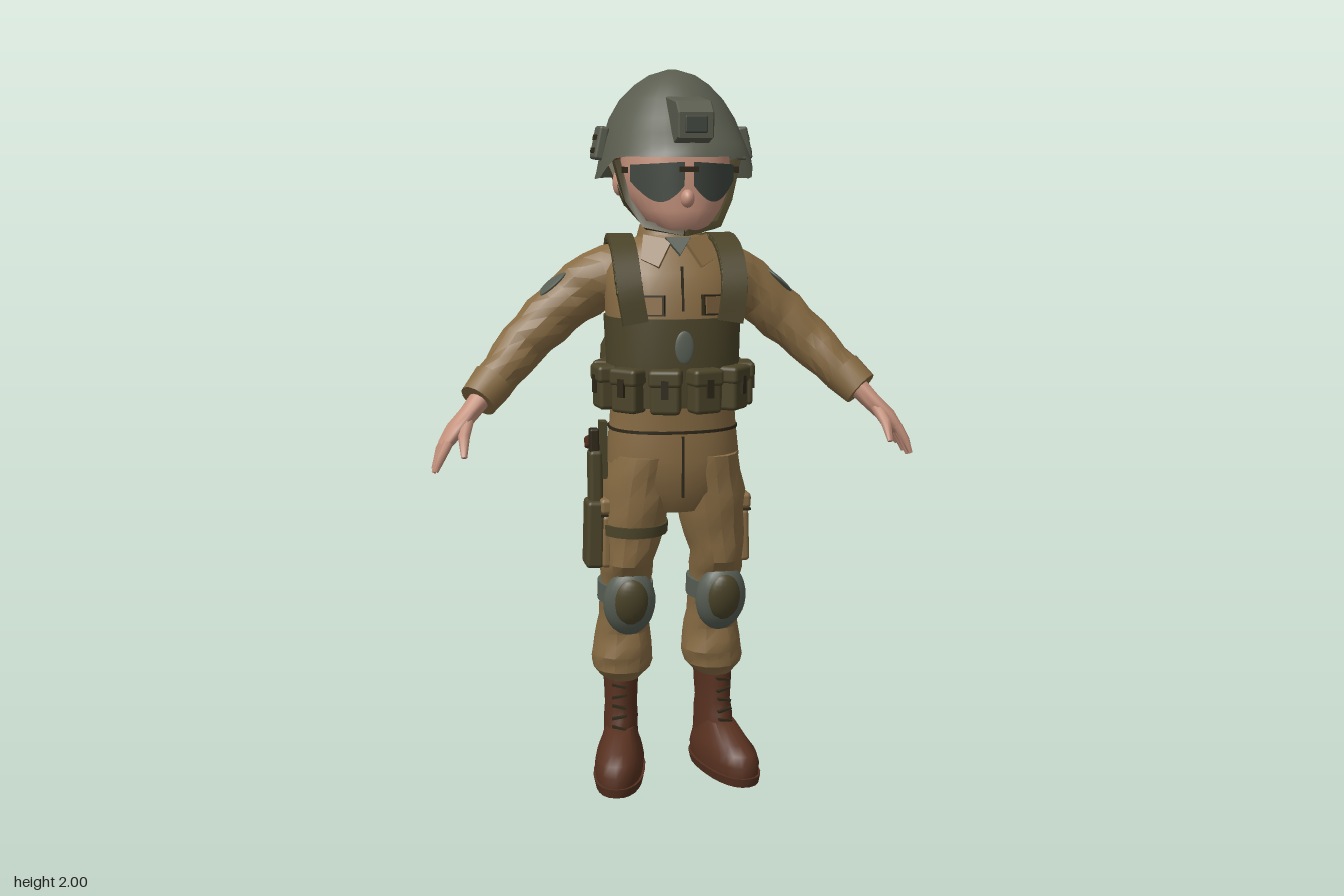
import * as THREE from 'three';
import { toCreasedNormals } from 'three/addons/utils/BufferGeometryUtils.js';
import { RoundedBoxGeometry } from 'three/addons/geometries/RoundedBoxGeometry.js';

const V = (x, y, z) => new THREE.Vector3(x, y, z);

// Skin over rings [x, y, z, halfA, halfB]; rings lie flat, or across the path when ref is given
function loft(rows, { n = 20, p = 2, ref = null, fold = 0, sub = 1, crease = 0.7, caps = true, rule = null } = {}) {
  const R = [];
  rows.forEach((r, i) => {
    const next = rows[i + 1];
    for (let k = 0; k < (next ? sub : 1); k++) R.push(next ? r.map((v, c) => v + (next[c] - v) * k / sub) : r);
  });
  const pos = [], idx = [], C = R.map(r => V(r[0], r[1], r[2])), L = R.length;
  const off = n === 4 ? Math.PI / 4 : 0, k4 = n === 4 ? Math.SQRT2 : 1;
  R.forEach((r, i) => {
    let N = V(0, 0, 1), M = V(1, 0, 0);
    if (ref) {
      const t = C[Math.min(i + 1, L - 1)].clone().sub(C[Math.max(i - 1, 0)]).normalize();
      N = ref.clone().addScaledVector(t, -ref.dot(t)).normalize();
      M = t.cross(N);
    }
    for (let j = 0; j < n; j++) {
      const a = off + j / n * Math.PI * 2, f = k4 * (1 + fold * Math.sin(2 * a + i * 2.4));
      const c = Math.cos(a), s = Math.sin(a), e = 2 / p;
      const q = C[i].clone().addScaledVector(M, f * r[3] * Math.sign(c) * Math.abs(c) ** e)
        .addScaledVector(N, f * r[4] * Math.sign(s) * Math.abs(s) ** e);
      if (rule) rule(q);
      pos.push(q.x, q.y, q.z);
    }
  });
  for (let i = 0; i < L - 1; i++) for (let j = 0; j < n; j++) {
    const a = i * n + j, b = i * n + (j + 1) % n;
    idx.push(a, a + n, b, b, a + n, b + n);
  }
  if (caps) {
    const b = pos.length / 3, top = (L - 1) * n;
    pos.push(...C[0].toArray(), ...C[L - 1].toArray());
    for (let j = 0; j < n; j++) {
      const k = (j + 1) % n;
      idx.push(b, j, k, b + 1, top + k, top + j);
    }
  }
  const g = new THREE.BufferGeometry();
  g.setAttribute('position', new THREE.Float32BufferAttribute(pos, 3));
  g.setIndex(idx);
  return toCreasedNormals(g, crease);
}

export function createModel() {
  const root = new THREE.Group();
  const mat = (name, color, side = THREE.FrontSide) => {
    const m = new THREE.MeshStandardMaterial({ color, side });
    m.name = name;
    return m;
  };
  const khaki = mat('khaki cloth', 0x876b43), olive = mat('olive webbing', 0x4b4429), green = mat('helmet green', 0x595c4e, THREE.DoubleSide);
  const grey = mat('grey green', 0x596055), skin = mat('skin', 0xc4917c), boot = mat('boot leather', 0x56301f);
  const hair = mat('brown hair', 0x52301f), lens = mat('dark lens', 0x40463f, THREE.DoubleSide), dark = mat('dark seam', 0x2f2819);
  const add = (name, geo, m, at = [0, 0, 0], rot = [0, 0, 0], parent = root) => {
    const mesh = new THREE.Mesh(geo, m);
    mesh.name = name;
    mesh.position.set(...at);
    mesh.rotation.set(...rot);
    parent.add(mesh);
    return mesh;
  };
  const box = (w, h, d) => new THREE.BoxGeometry(w, h, d);
  const rbox = (w, h, d, r = 0.012) => new RoundedBoxGeometry(w, h, d, 2, r);
  const ball = (a, b, c) => new THREE.SphereGeometry(1, 20, 14).scale(a, b, c);
  const X = V(1, 0, 0), Z = V(0, 0, 1);

  // Head
  add('head', loft([[0, 1.572, 0.1, 0.045, 0.05], [0, 1.59, 0.07, 0.08, 0.1], [0, 1.63, 0.035, 0.115, 0.137],
    [0, 1.68, 0.02, 0.14, 0.152], [0, 1.74, 0.02, 0.146, 0.152], [0, 1.82, 0.01, 0.14, 0.145]], { n: 28, p: 2.4, crease: 1.2 }), skin);
  add('neck', loft([[0, 1.48, -0.04, 0.075, 0.07], [0, 1.58, -0.035, 0.062, 0.06], [0, 1.68, -0.02, 0.07, 0.07]]), skin);
  add('hair', loft([[0, 1.625, -0.06, 0.08, 0.06], [0, 1.65, -0.06, 0.125, 0.085], [0, 1.7, -0.06, 0.148, 0.105],
    [0, 1.8, -0.06, 0.155, 0.115]], { crease: 1.2 }), hair);
  add('nose', ball(0.018, 0.024, 0.024), skin, [0, 1.662, 0.178]);
  add('mouth', box(0.05, 0.005, 0.008), hair, [0, 1.613, 0.161]);
  add('glassesBridge', box(0.05, 0.014, 0.01), dark, [0, 1.738, 0.194]);

  // Helmet, its rim lifted over the face
  add('helmetShell', loft([[0, 1.71, -0.005, 0.212, 0.265], [0, 1.73, -0.003, 0.207, 0.257], [0, 1.77, -0.005, 0.199, 0.245], [0, 1.82, -0.015, 0.187, 0.225],
    [0, 1.87, -0.025, 0.17, 0.202], [0, 1.92, -0.03, 0.14, 0.165], [0, 1.96, -0.025, 0.1, 0.12],
    [0, 1.985, -0.02, 0.062, 0.075], [0, 2, -0.02, 0.012, 0.014]], {
    n: 36, crease: 1, caps: false, rule: q => {
      q.y += 0.06 * THREE.MathUtils.smoothstep(q.z, 0.02, 0.15) * THREE.MathUtils.clamp((1.84 - q.y) / 0.13, 0, 1);
    } }), green);
  add('helmetCrown', ball(0.02, 0.004, 0.02), green, [0, 1.996, -0.02]);
  const side = new THREE.Shape([[-0.1, 1.925], [-0.25, 1.907], [-0.28, 1.88], [-0.275, 1.82], [-0.2, 1.8]].map(a => new THREE.Vector2(...a)));
  add('visorMount', new THREE.ExtrudeGeometry(side, { depth: 0.086, bevelEnabled: true, bevelSize: 0.004, bevelThickness: 0.004, bevelSegments: 1 })
    .translate(0, 0, -0.043).rotateY(Math.PI / 2), green);
  add('mountFace', rbox(0.06, 0.045, 0.012, 0.005), lens, [0, 1.852, 0.279]);

  for (const s of [1, -1]) {
    const at = rows => rows.map(([x, ...r]) => [s * x, ...r]);
    add('helmetBuckle', rbox(0.028, 0.09, 0.085, 0.008), green, [s * 0.198, 1.805, -0.028], [0, 0, s * 0.2]);
    for (const y of [1.786, 1.82]) add('buckleSlot', box(0.006, 0.014, 0.055), dark, [s * (0.216 - (y - 1.786) * 0.2), y, -0.028], [0, 0, s * 0.2]);
    add('ear', ball(0.018, 0.035, 0.025), skin, [s * 0.148, 1.7, -0.01]);
    add('chinStrap', loft(at([[0.165, 1.76, 0.04, 0.008, 0.02], [0.137, 1.65, 0.05, 0.008, 0.022], [0.095, 1.59, 0.1, 0.01, 0.014],
      [0, 1.571, 0.15, 0.008, 0.014]]), { n: 4, ref: Z }), olive);
    add('rearStrap', loft(at([[0.165, 1.75, -0.06, 0.008, 0.015], [0.137, 1.65, 0.04, 0.008, 0.014]]), { n: 4, ref: Z }), olive);

    // Wraparound lens
    const g = new THREE.PlaneGeometry(1, 1, 10, 4), P = g.attributes.position;
    for (let i = 0; i < P.count; i++) {
      const u = P.getX(i) + 0.5, v = P.getY(i) + 0.5, x = 0.012 + 0.128 * u;
      const lo = 1.715 - 0.062 * Math.sin(Math.PI * (0.1 + 0.85 * u)), hi = 1.757 - 0.008 * u;
      P.setXYZ(i, s * x, lo + (hi - lo) * v, 0.198 - 4.5 * x * x);
    }
    g.computeVertexNormals();
    add('glassesLens', g, lens);
    add('glassesArm', box(0.01, 0.016, 0.13), dark, [s * 0.15, 1.735, 0.045]);

    // Sleeve, cuff and hand
    add('sleeve', loft(at([[0.12, 1.455, -0.075, 0.085, 0.085], [0.2, 1.43, -0.1, 0.087, 0.08], [0.27, 1.38, -0.108, 0.078, 0.073],
      [0.34, 1.32, -0.105, 0.074, 0.07], [0.41, 1.255, -0.085, 0.068, 0.066], [0.47, 1.19, -0.045, 0.06, 0.06],
      [0.525, 1.135, -0.005, 0.052, 0.05]]), { n: 14, ref: Z, fold: 0.05, sub: 2, crease: 0.45 }), khaki);
    add('cuff', loft(at([[0.497, 1.165, -0.027, 0.061, 0.058], [0.543, 1.118, 0.008, 0.054, 0.054]]), { n: 14, ref: Z }), khaki);
    add('shoulderPatch', ball(0.056, 0.009, 0.056), grey, [s * 0.322, 1.424, -0.1], [0, 0, -s * 0.72]);
    add('palm', loft(at([[0.53, 1.13, 0, 0.03, 0.034], [0.57, 1.085, 0.022, 0.026, 0.04], [0.61, 1.045, 0.038, 0.024, 0.054],
      [0.64, 1.005, 0.042, 0.017, 0.052]]), { n: 14, ref: Z, crease: 1.2 }), skin);
    for (let i = 0; i < 4; i++) {
      const z = 0.004 + i * 0.026, len = [0.75, 0.95, 1, 0.9][i];
      add('finger', loft(at([[0.63, 1.02, z, 0.014, 0.013], [0.63 + 0.024 * len, 1.02 - 0.045 * len, z + (i - 1.5) * 0.006, 0.012, 0.012],
        [0.63 + 0.04 * len, 1.02 - 0.085 * len, z + (i - 1.5) * 0.009, 0.006, 0.007]]), { n: 8, ref: Z, crease: 1.2 }), skin);
    }
    add('thumb', loft(at([[0.575, 1.075, 0.045, 0.018, 0.018], [0.59, 1.035, 0.095, 0.015, 0.016], [0.593, 0.985, 0.128, 0.006, 0.008]]),
      { n: 8, ref: X, crease: 1.2 }), skin);

    // Collar wing, chest pocket
    const wing = new THREE.Shape([[0, 0.01], [s * 0.075, 0.045], [s * 0.09, -0.03], [s * 0.045, -0.065]].map(a => new THREE.Vector2(...a)));
    add('collarWing', new THREE.ExtrudeGeometry(wing, { depth: 0.01, bevelEnabled: false }), khaki, [s * 0.015, 1.535, 0.062], [-0.62, s * 0.35, 0]);
    add('pocketSeam', box(0.122, 0.056, 0.012), dark, [s * 0.105, 1.375, 0.104], [-0.08, s * 0.52, 0]);
    add('chestPocket', box(0.112, 0.046, 0.018), khaki, [s * 0.105, 1.375, 0.104], [-0.08, s * 0.52, 0]);

    // Shoulder strap with ribs
    const path = new THREE.CatmullRomCurve3([V(0.13, 1.33, 0.125), V(0.145, 1.43, 0.112), V(0.146, 1.515, 0.05), V(0.14, 1.55, -0.06),
      V(0.13, 1.515, -0.16), V(0.12, 1.41, -0.192), V(0.11, 1.26, -0.19)].map(v => v.setX(s * v.x)));
    add('shoulderStrap', loft(path.getPoints(22).map(v => [v.x, v.y, v.z, 0.012, 0.034]), { n: 4, ref: X }), olive);
    for (let i = 3; i < 18; i++) {
      const v = path.getPointAt(i / 22), t = path.getTangentAt(i / 22);
      add('strapRib', rbox(0.072, 0.036, 0.018, 0.005), olive, v.toArray(), [Math.atan2(t.z, t.y), 0, 0]);
    }

    // Belt pouches
    for (const a of [0.28, 0.85, 1.45, 2.1]) {
      const pouch = new THREE.Group();
      pouch.name = 'beltPouch';
      pouch.position.set(s * 0.192 * Math.sin(a), 1.145, -0.012 + 0.168 * Math.cos(a));
      pouch.rotation.y = s * a;
      root.add(pouch);
      add('pouchBody', rbox(0.082, 0.115, 0.06), olive, [0, 0, 0], [0, 0, 0], pouch);
      add('pouchFlap', rbox(0.09, 0.048, 0.07), olive, [0, 0.04, 0], [0, 0, 0], pouch);
      add('pouchTab', box(0.02, 0.05, 0.008), dark, [0, 0.012, 0.034], [0, 0, 0], pouch);
    }

    // Trouser leg with cargo pocket
    add('trouserLeg', loft(at([[0.138, 0.285, -0.095, 0.052, 0.072], [0.135, 0.315, -0.093, 0.084, 0.09], [0.132, 0.36, -0.092, 0.088, 0.098],
      [0.13, 0.43, -0.09, 0.076, 0.09], [0.13, 0.5, -0.07, 0.07, 0.085], [0.13, 0.58, -0.048, 0.07, 0.092], [0.13, 0.65, -0.022, 0.073, 0.112],
      [0.116, 0.75, -0.02, 0.09, 0.122], [0.104, 0.85, -0.015, 0.098, 0.132], [0.09, 0.96, -0.012, 0.09, 0.135]]),
      { n: 16, p: 2.2, fold: 0.028, sub: 2, crease: 0.45 }), khaki);
    add('cargoPocket', rbox(0.03, 0.15, 0.15), khaki, [s * 0.196, 0.715, -0.03], [0, 0, s * 0.03]);
    add('cargoSeam', box(0.035, 0.006, 0.15), dark, [s * 0.197, 0.79, -0.03]);
    add('cargoFlap', rbox(0.036, 0.045, 0.158), khaki, [s * 0.197, 0.815, -0.03]);

    // Knee pad and its band
    add('kneeBand', loft(at([[0.13, 0.525, -0.06, 0.078, 0.093], [0.13, 0.58, -0.05, 0.078, 0.098]]), { p: 2.2 }), grey);
    add('kneePadBase', ball(0.074, 0.102, 0.05), grey, [s * 0.132, 0.535, 0.025], [0.22, s * 0.1, 0]);
    add('kneePadCap', ball(0.052, 0.074, 0.034), olive, [s * 0.133, 0.54, 0.05], [0.22, s * 0.1, 0]);

    // Boot, turned outward
    const b = new THREE.Group();
    b.name = 'boot';
    b.position.set(s * 0.137, 0, -0.093);
    b.rotation.y = s * 0.24;
    root.add(b);
    add('bootShaft', loft([[0, 0.06, 0, 0.052, 0.085], [0, 0.13, 0.005, 0.05, 0.084], [0, 0.2, 0, 0.047, 0.07], [0, 0.31, -0.003, 0.052, 0.07]],
      { fold: 0.02, sub: 2 }), boot, [0, 0, 0], [0, 0, 0], b);
    add('bootFoot', loft([[0, 0.02, 0.075, 0.066, 0.16], [0, 0.055, 0.075, 0.07, 0.163], [0, 0.085, 0.072, 0.064, 0.15],
      [0, 0.105, 0.055, 0.055, 0.125], [0, 0.145, 0.02, 0.042, 0.085]], { p: 2.3, n: 24, crease: 0.9 }), boot, [0, 0, 0], [0, 0, 0], b);
    add('bootSole', loft([[0, 0, 0.075, 0.068, 0.162], [0, 0.026, 0.075, 0.074, 0.167]], { p: 2.3, n: 24 }), hair, [0, 0, 0], [0, 0, 0], b);
    for (let i = 0; i < 5; i++) add('bootLace', box(0.042, 0.006, 0.012), dark, [0, 0.15 + i * 0.03, 0.083 - i * 0.004], [0, 0, 0.2 * (i % 2 ? 1 : -1)], b);
  }

  // Shirt and trousers
  add('shirt', loft([[0, 1.03, -0.015, 0.177, 0.137], [0, 1.1, -0.015, 0.172, 0.14], [0, 1.2, -0.015, 0.174, 0.148], [0, 1.3, -0.02, 0.18, 0.152],
    [0, 1.4, -0.027, 0.188, 0.15], [0, 1.46, -0.035, 0.186, 0.135], [0, 1.51, -0.045, 0.16, 0.112], [0, 1.545, -0.045, 0.105, 0.09],
    [0, 1.56, -0.042, 0.08, 0.075]], { n: 28, p: 2.3 }), khaki);
  add('collar', loft([[0, 1.53, -0.045, 0.1, 0.092], [0, 1.585, -0.05, 0.084, 0.076]], { crease: 1 }), khaki);
  const tri = new THREE.Shape([[-0.035, 0], [0, -0.055], [0.035, 0]].map(a => new THREE.Vector2(...a)));
  add('undershirt', new THREE.ExtrudeGeometry(tri, { depth: 0.01, bevelEnabled: false }), grey, [0, 1.55, 0.052], [-0.6, 0, 0]);
  add('shirtPlacket', box(0.006, 0.12, 0.008), dark, [0, 1.42, 0.118], [-0.12, 0, 0]);
  add('pelvis', loft([[0, 0.8, -0.015, 0.09, 0.1], [0, 0.86, -0.015, 0.175, 0.132], [0, 0.95, -0.015, 0.186, 0.142], [0, 1.045, -0.015, 0.176, 0.136]],
    { n: 28, p: 2.3 }), khaki);
  add('waistSeam', loft([[0, 1.026, -0.015, 0.181, 0.141], [0, 1.034, -0.015, 0.181, 0.141]], { n: 28, p: 2.3 }), dark);
  add('flySeam', box(0.006, 0.17, 0.008), dark, [0, 0.935, 0.126]);

  // Vest, belt and back pack
  add('vest', loft([[0, 1.12, -0.014, 0.182, 0.152], [0, 1.22, -0.014, 0.184, 0.158], [0, 1.34, -0.022, 0.189, 0.159]], { n: 28, p: 2.3 }), olive);
  add('vestBadge', ball(0.026, 0.045, 0.006), grey, [0, 1.265, 0.143]);
  add('belt', loft([[0, 1.1, -0.014, 0.188, 0.158], [0, 1.17, -0.014, 0.188, 0.16]], { n: 28, p: 2.3 }), olive);
  add('packBody', loft([[0, 1.08, -0.2, 0.13, 0.045], [0, 1.1, -0.205, 0.155, 0.07], [0, 1.16, -0.21, 0.165, 0.08], [0, 1.22, -0.21, 0.16, 0.075]],
    { n: 24, p: 3 }), olive);
  add('packLid', loft([[0, 1.195, -0.208, 0.17, 0.084], [0, 1.235, -0.205, 0.168, 0.08], [0, 1.275, -0.195, 0.15, 0.06], [0, 1.292, -0.185, 0.12, 0.035]],
    { n: 24, p: 3 }), olive);
  add('packSeam', loft([[0, 1.188, -0.208, 0.169, 0.083], [0, 1.196, -0.208, 0.169, 0.083]], { n: 24, p: 3 }), dark);
  add('backCrossStrap', rbox(0.24, 0.035, 0.02, 0.006), olive, [0, 1.41, -0.183]);

  // Thigh holster with sidearm, right side only
  add('holsterBody', rbox(0.05, 0.19, 0.085), olive, [-0.228, 0.735, 0], [0, 0, -0.03]);
  add('holsterUpper', rbox(0.038, 0.16, 0.06), olive, [-0.222, 0.89, -0.005]);
  add('holsterHanger', box(0.02, 0.16, 0.04), olive, [-0.2, 0.97, 0]);
  add('sidearmSlide', rbox(0.026, 0.12, 0.035, 0.006), dark, [-0.225, 0.97, 0]);
  add('sidearmGrip', rbox(0.026, 0.035, 0.1, 0.008), boot, [-0.225, 0.985, -0.05], [-0.25, 0, 0]);
  add('holsterStrap', loft([[-0.116, 0.735, -0.02, 0.098, 0.128], [-0.115, 0.765, -0.02, 0.099, 0.13]], { p: 2.2 }), olive);

  return root;
}
